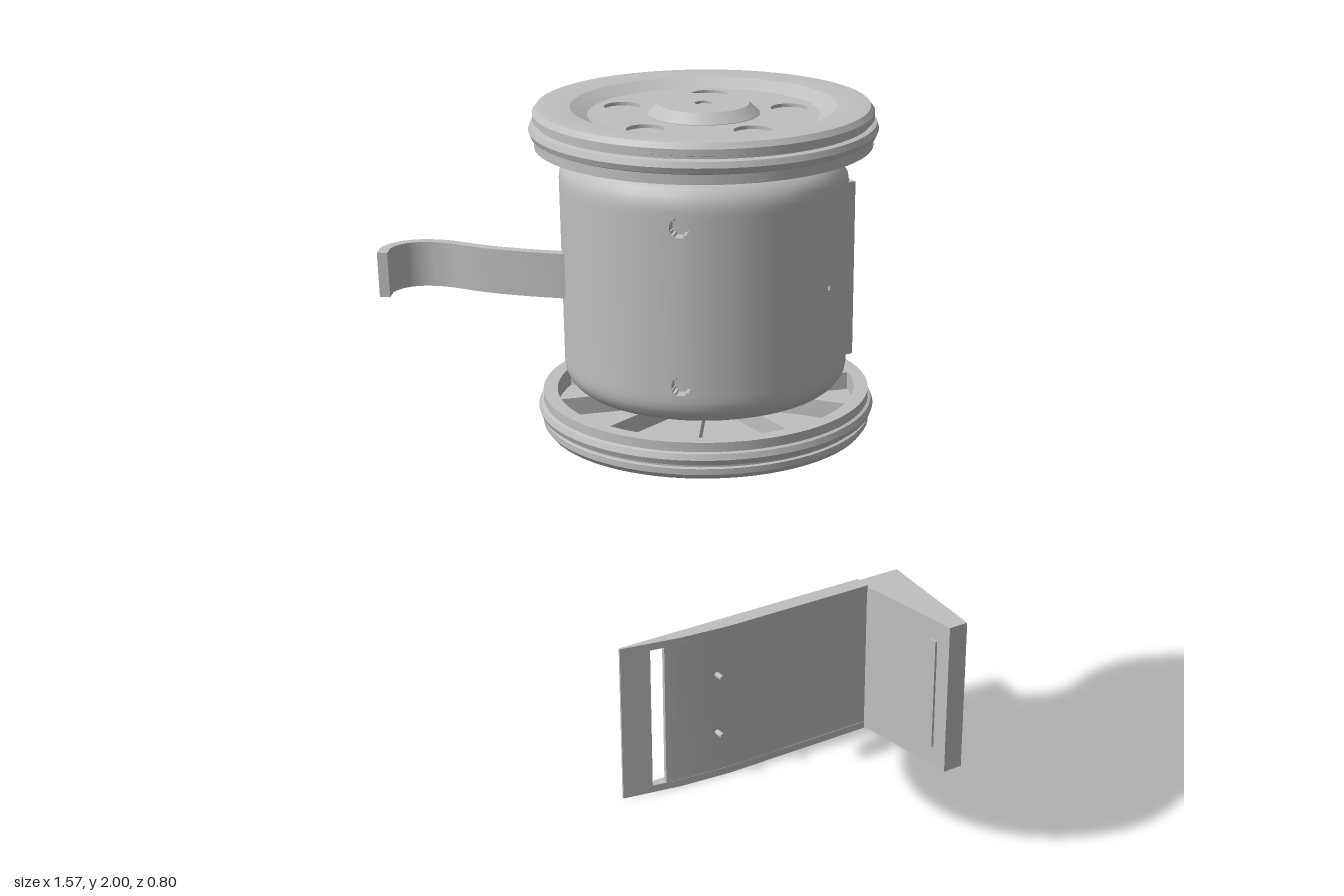
import * as THREE from 'three';
import { toCreasedNormals } from 'three/addons/utils/BufferGeometryUtils.js';

const V2 = (p) => new THREE.Vector2(p[0], p[1]);
const RAD = Math.PI / 180;

export function createModel() {
  const plastic = new THREE.MeshStandardMaterial({ color: 0xbfbfbf });
  plastic.name = 'lightGrey';
  const model = new THREE.Group();
  model.name = 'model';

  const add = (parent, name, geometry, x = 0, y = 0, z = 0) => {
    const mesh = new THREE.Mesh(geometry, plastic);
    mesh.name = name;
    mesh.position.set(x, y, z);
    parent.add(mesh);
    return mesh;
  };
  // box given by its limits
  const block = (parent, name, x0, x1, y0, y1, z0, z1) => add(parent, name,
    new THREE.BoxGeometry(x1 - x0, y1 - y0, z1 - z0), (x0 + x1) / 2, (y0 + y1) / 2, (z0 + z1) / 2);
  // outline in (x, z) raised from y0 to y1
  const raise = (shape, y0, y1) => {
    const g = new THREE.ExtrudeGeometry(shape, { depth: y1 - y0, bevelEnabled: false, curveSegments: 48 });
    return toCreasedNormals(g.rotateX(Math.PI / 2).translate(0, y1, 0), 0.5);
  };
  const prism = (parent, name, points, y0, y1) => add(parent, name, raise(new THREE.Shape(points.map(V2)), y0, y1));

  // ---- rolling unit: body, axle, two wheels, tail ----
  const robot = new THREE.Group();
  robot.name = 'rollingUnit';
  robot.position.set(-0.12, 1.62, 0);
  model.add(robot);
  add(robot, 'body', bodyGeometry());
  add(robot, 'axle', new THREE.CylinderGeometry(0.008, 0.008, 0.74, 12));
  block(robot, 'sideRidge', 0.24, 0.264, -0.2, 0.21, 0.197, 0.222);

  const wheelProfile = [[0, 0.335], [0.35, 0.335], [0.35, 0.29], [0.383, 0.29], [0.383, 0.312], [0.39, 0.315],
    [0.395, 0.328], [0.39, 0.341], [0.378, 0.344], [0.378, 0.35], [0.385, 0.352], [0.385, 0.366], [0.376, 0.378],
    [0.36, 0.38], [0.3, 0.376], [0.262, 0.357], [0.262, 0.349], [0.127, 0.349], [0.127, 0.358], [0.103, 0.38],
    [0.02, 0.38], [0.02, 0.352], [0, 0.352]].map(V2);
  const wheelGeo = toCreasedNormals(new THREE.LatheGeometry(wheelProfile, 72), 0.35);
  // dished face plate with five round recesses
  const face = new THREE.Shape().absarc(0, 0, 0.263, 0, Math.PI * 2);
  const circleHole = (x, y, r) => face.holes.push(new THREE.Path().absarc(x, y, r, 0, Math.PI * 2, true));
  circleHole(0, 0, 0.126);
  for (let i = 0; i < 5; i++) {
    const a = (90 + 72 * i) * RAD;
    circleHole(0.2 * Math.cos(a), 0.2 * Math.sin(a), 0.042);
  }
  const faceGeo = raise(face, 0.347, 0.357);
  for (const side of ['upper', 'lower']) {
    const wheel = new THREE.Group();
    wheel.name = side + 'Wheel';
    if (side === 'lower') wheel.rotation.z = Math.PI;
    robot.add(wheel);
    add(wheel, 'rim', wheelGeo);
    add(wheel, 'facePlate', faceGeo);
    add(wheel, 'hub', new THREE.CylinderGeometry(0.03, 0.03, 0.05, 24), 0, 0.315, 0);
    add(wheel, 'hubBolt', new THREE.CylinderGeometry(0.012, 0.012, 0.025, 6), 0, 0.364, 0);
    for (let i = 0; i < 10; i++) {
      const a = (18 + 36 * i) * RAD;
      const rib = add(wheel, 'rib', new THREE.BoxGeometry(0.33, 0.045, 0.012),
        0.188 * Math.cos(a), 0.315, 0.188 * Math.sin(a));
      rib.rotation.y = -a;
    }
  }

  // curved tail strip, offset both ways from its centre line
  const tailCurve = new THREE.CatmullRomCurve3([[-0.4, -0.08], [-0.49, -0.17], [-0.56, -0.255], [-0.61, -0.335],
    [-0.655, -0.375], [-0.7, -0.387], [-0.745, -0.372], [-0.775, -0.335]].map(([x, z]) => new THREE.Vector3(x, 0, z)));
  const left = [], right = [];
  for (let i = 0; i <= 36; i++) {
    const p = tailCurve.getPoint(i / 36), t = tailCurve.getTangent(i / 36);
    left.push([p.x - t.z * 0.012, p.z + t.x * 0.012]);
    right.unshift([p.x + t.z * 0.012, p.z - t.x * 0.012]);
  }
  prism(model, 'tail', [...left, ...right], 1.57, 1.675);

  // ---- separate bracket: slotted plate with hollow foot ----
  const bracket = new THREE.Group();
  bracket.name = 'bracket';
  model.add(bracket);
  const rail = [[-0.15, -0.4], [0.64, -0.4], [0.64, -0.35], [0.17, -0.35], [0.02, -0.363], [-0.15, -0.394]];
  prism(bracket, 'lowerRail', rail, 0.005, 0.026);
  prism(bracket, 'upperRail', rail, 0.444, 0.465);
  prism(bracket, 'endPlate', [[-0.15, -0.4], [-0.065, -0.4], [-0.065, -0.379], [-0.15, -0.394]], 0.026, 0.444);
  prism(bracket, 'panel', [[-0.025, -0.383], [0.02, -0.375], [0.17, -0.362], [0.6, -0.362], [0.6, -0.351],
    [0.17, -0.351], [0.02, -0.364], [-0.025, -0.372]], 0.026, 0.444);
  block(bracket, 'crossStrip', 0.575, 0.64, 0.026, 0.444, -0.4, -0.351);
  for (const y of [0.145, 0.325]) {
    add(bracket, 'peg', new THREE.CylinderGeometry(0.008, 0.008, 0.065, 12).rotateX(Math.PI / 2), 0.132, y, -0.358);
  }
  const footOuter = [[0.633, -0.4], [0.78, -0.4], [0.73, -0.015], [0.67, -0.015]];
  prism(bracket, 'footWalls', [[0.633, -0.4], [0.646, -0.4], [0.682, -0.028], [0.718, -0.028], [0.767, -0.4],
    [0.78, -0.4], [0.73, -0.015], [0.67, -0.015]], 0.022, 0.448);
  prism(bracket, 'footFloor', footOuter, 0.01, 0.022);
  prism(bracket, 'footRoof', footOuter, 0.448, 0.46);
  block(bracket, 'footRidge', 0.659, 0.67, 0.07, 0.4, -0.085, -0.062);
  block(bracket, 'footClip', 0.772, 0.785, 0.195, 0.275, -0.4, -0.362);
  return model;
}

// rounded drum with one flat side and recessed ports
function bodyGeometry() {
  const H = 0.277, ROUND = 0.06, R = 0.33, FLAT = 0.25, DEEP = 0.03;
  const ports = []; // [angle, y, width, height]
  const round = (a, y, d) => [[1, 0.4], [0.86, 0.7], [0.5, 1]].forEach(([w, h]) => ports.push([a, y, d * w, d * h]));
  for (const s of [-1, 1]) {
    ports.push([262, s * 0.09, 0.05, 0.04], [305, s * 0.135, 0.036, 0.03]);
    round(238.5, s * 0.152, 0.055);
    round(132, s * 0.18, 0.042);
  }
  ports.push([252, 0, 0.065, 0.016], [65, 0, 0.01, 0.01]);
  // hexagonal grille of upright slits
  for (let i = -3; i <= 3; i++) {
    ports.push([225 + i * 3.1, 0, 0.009, 0.115 - Math.abs(i) * 0.018]);
  }
  const rects = ports.map(([a, y, w, h]) => {
    const half = w / 2 / R;
    return [a * RAD - half, a * RAD + half, y - h / 2, y + h / 2];
  });

  // grid lines pass through every port edge
  const sorted = (list) => list.sort((a, b) => a - b).filter((v, i, l) => i === 0 || v - l[i - 1] > 1e-5);
  const corner = Math.acos(FLAT / R);
  const angles = [corner, Math.PI * 2 - corner];
  for (let i = 0; i <= 72; i++) angles.push(i * 5 * RAD);
  const heights = [ROUND - H, H - ROUND];
  for (const r of rects) {
    angles.push(r[0], r[1]);
    heights.push(r[2], r[3]);
  }
  const th = sorted(angles);
  const wall = sorted(heights).map((y) => ({ y, d: 0, s: 1 }));
  const edge = [];
  for (let i = 1; i <= 6; i++) {
    const a = i * 15 * RAD;
    edge.push({ y: H - ROUND + ROUND * Math.sin(a), d: ROUND * (1 - Math.cos(a)), s: 1 });
  }
  edge.push({ y: H, d: ROUND, s: 0 });
  const rows = [...edge.map((e) => ({ ...e, y: -e.y })).reverse(), ...wall, ...edge];

  const point = (i, j, depth) => {
    const { y, d, s } = rows[j], c = Math.cos(th[i]), inset = d + depth;
    const r = s * (c > 0 ? Math.min(R - inset, (FLAT - inset) / c) : R - inset);
    return [r * c, y, r * Math.sin(th[i])];
  };
  const depthAt = (i, j) => {
    if (i >= th.length - 1 || j >= rows.length - 1) return 0;
    const a = (th[i] + th[i + 1]) / 2, y = (rows[j].y + rows[j + 1].y) / 2;
    return rects.some((r) => a > r[0] && a < r[1] && y > r[2] && y < r[3]) ? DEEP : 0;
  };
  const pos = [];
  const quad = (a, b, c, d) => pos.push(...a, ...b, ...c, ...a, ...c, ...d);
  for (let i = 0; i < th.length - 1; i++) {
    for (let j = 0; j < rows.length - 1; j++) {
      const a = depthAt(i, j), b = depthAt(i + 1, j), c = depthAt(i, j + 1);
      quad(point(i, j, a), point(i, j + 1, a), point(i + 1, j + 1, a), point(i + 1, j, a));
      // port side walls
      if (a !== b) quad(point(i + 1, j, a), point(i + 1, j + 1, a), point(i + 1, j + 1, b), point(i + 1, j, b));
      if (a !== c) quad(point(i + 1, j + 1, a), point(i, j + 1, a), point(i, j + 1, c), point(i + 1, j + 1, c));
    }
  }
  const g = new THREE.BufferGeometry();
  g.setAttribute('position', new THREE.Float32BufferAttribute(pos, 3));
  return toCreasedNormals(g, 0.5);
}
